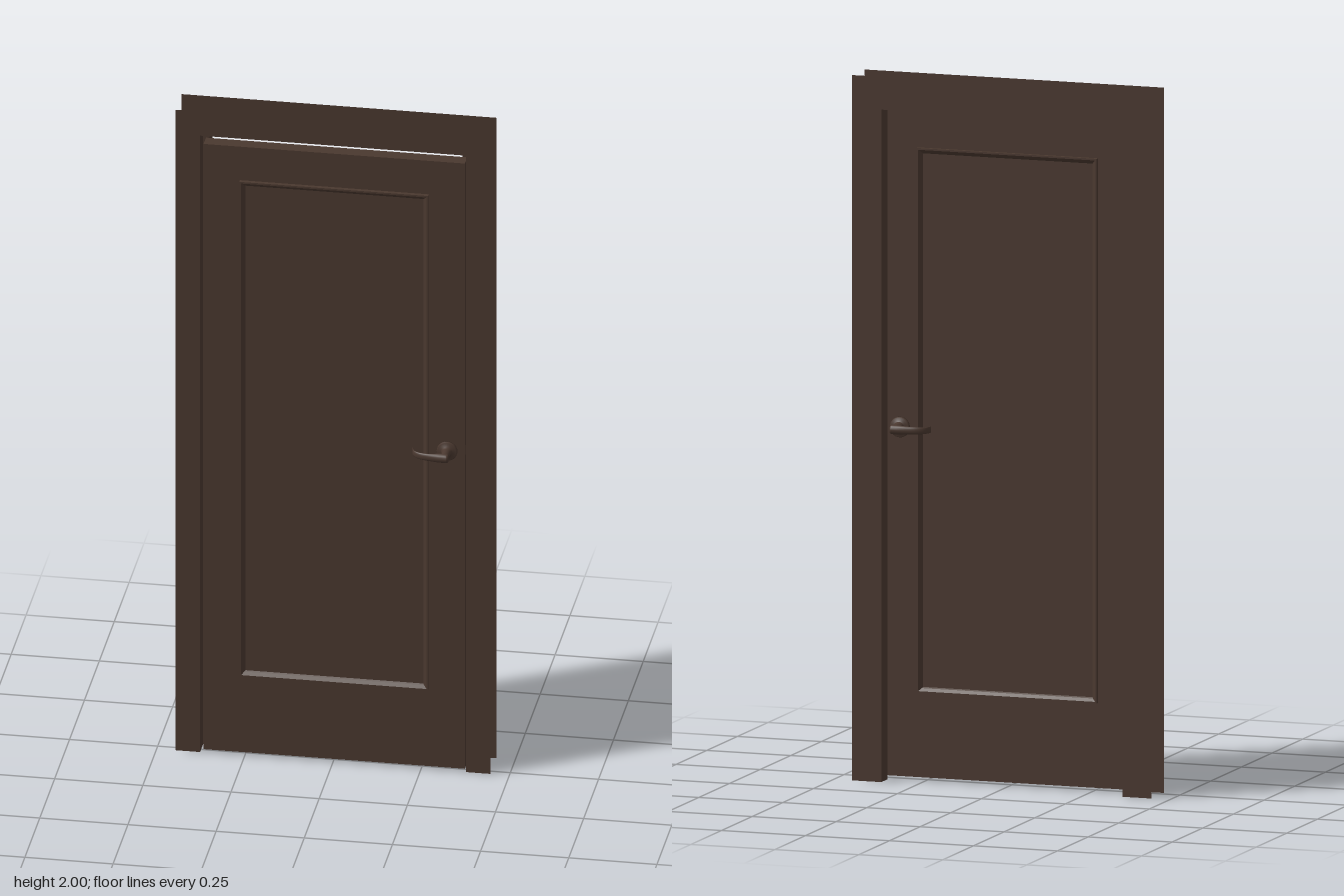
import * as THREE from 'three';

const FRONT = 0.017, STEP = -0.033, BACK = -0.083;   // depth of trim, rebate and rear trim
const REBATE = [0.377, 1.925], STOP = [0.359, 1.907]; // half width and height of the openings
const DOOR = { x0: -0.367, x1: 0.374, y0: 0.01, y1: 1.9, z0: -0.023, z1: 0.017 };

export function createModel() {
  const wood = new THREE.MeshStandardMaterial({ color: 0x4a382f, side: THREE.DoubleSide });
  wood.name = 'dark brown';
  const model = new THREE.Group();
  model.name = 'door';

  const add = (name, geometry, parent = model) => {
    const mesh = new THREE.Mesh(geometry, wood);
    mesh.name = name;
    parent.add(mesh);
    return mesh;
  };

  // Flat portal: an upside-down U between an outer and an inner opening
  const portal = ([ow, oh], [iw, ih]) => new THREE.ShapeGeometry(new THREE.Shape(
    [[-ow, 0], [-iw, 0], [-iw, ih], [iw, ih], [iw, 0], [ow, 0], [ow, oh], [-ow, oh]]
      .map(([x, y]) => new THREE.Vector2(x, y))));

  // Thin lining of an opening: two sides and a head
  const lining = (name, [w, h], z0, z1) => {
    const depth = z1 - z0, z = (z0 + z1) / 2;
    for (const s of [-1, 1]) {
      const side = add(name + 'Side', new THREE.PlaneGeometry(depth, h));
      side.rotation.y = -s * Math.PI / 2;
      side.position.set(s * w, h / 2, z);
    }
    const head = add(name + 'Head', new THREE.PlaneGeometry(2 * w, depth));
    head.rotation.x = Math.PI / 2;
    head.position.set(0, h, z);
  };

  // Frame
  add('frontTrim', portal([0.446, 2], REBATE)).position.z = FRONT;
  const rear = add('backTrim', portal([0.446, 2], STOP));
  rear.rotation.y = Math.PI;
  rear.position.z = BACK;
  add('doorStop', portal(REBATE, STOP)).position.z = STEP;
  lining('rebate', REBATE, STEP, FRONT);
  lining('jamb', STOP, BACK, STEP);

  // Door leaf
  const leaf = add('doorLeaf', new THREE.BoxGeometry(
    DOOR.x1 - DOOR.x0, DOOR.y1 - DOOR.y0, DOOR.z1 - DOOR.z0));
  leaf.position.set((DOOR.x0 + DOOR.x1) / 2, (DOOR.y0 + DOOR.y1) / 2, (DOOR.z0 + DOOR.z1) / 2);

  // Panel moulding and lever handle on both faces
  const middle = (DOOR.z0 + DOOR.z1) / 2, half = (DOOR.z1 - DOOR.z0) / 2;
  for (const side of ['front', 'back']) {
    const turn = side === 'front' ? 0 : Math.PI;
    const moulding = add(side + 'PanelMoulding', mouldingGeometry(0.536, 1.545));
    moulding.rotation.x = turn;
    moulding.position.set(0.004, 1.023, middle + (turn ? -half : half));

    const handle = new THREE.Group();
    handle.name = side + 'Handle';
    handle.rotation.x = turn;
    handle.position.set(0.324, 1, middle + (turn ? -half : half));
    model.add(handle);
    const turned = [[0, 0], [0.029, 0], [0.029, 0.006], [0.026, 0.009], [0.016, 0.01],
      [0.016, 0.014], [0.0125, 0.018], [0.0115, 0.045]].map(([r, y]) => new THREE.Vector2(r, y));
    add('roseAndNeck', new THREE.LatheGeometry(turned, 28), handle).rotation.x = Math.PI / 2;
    add('lever', leverGeometry(), handle);
  }

  // Latch in the leaf's edge
  add('latchBolt', new THREE.BoxGeometry(0.012, 0.03, 0.026)).position.set(0.373, 1, -0.008);
  return model;
}

// Joins cross-section loops into a closed skin
function loft(loops, closedEnds) {
  const n = loops[0].length, index = [];
  for (let i = 0; i < loops.length - 1; i++)
    for (let j = 0; j < n; j++) {
      const a = i * n + j, b = i * n + (j + 1) % n;
      index.push(a, b, b + n, a, b + n, a + n);
    }
  if (closedEnds)
    for (let j = 1; j < n - 1; j++) {
      const e = (loops.length - 1) * n;
      index.push(0, j + 1, j, e, e + j, e + j + 1);
    }
  const geometry = new THREE.BufferGeometry();
  geometry.setAttribute('position', new THREE.Float32BufferAttribute(loops.flat(2), 3));
  geometry.setIndex(index);
  return geometry;
}

// Rectangular moulding with mitred corners, rising along +z
function mouldingGeometry(w, h) {
  const profile = [[0, 0], [0, 0.011], [0.005, 0.011], [0.013, 0.004], [0.016, 0]];
  const loops = profile.map(([inset, z]) => [[-1, -1], [1, -1], [1, 1], [-1, 1]]
    .map(([x, y]) => [x * (w / 2 - inset), y * (h / 2 - inset), z]));
  const geometry = loft(loops, false).toNonIndexed();
  geometry.computeVertexNormals();
  return geometry;
}

// Curved lever: tapering oval sections swept towards the door
function leverGeometry() {
  // x, z, half thickness, half height
  const keys = [[0.011, 0.051, 0.009, 0.011], [0.006, 0.051, 0.0115, 0.013],
    [-0.014, 0.051, 0.0105, 0.013], [-0.04, 0.052, 0.006, 0.011],
    [-0.07, 0.047, 0.004, 0.01], [-0.088, 0.035, 0.003, 0.0095], [-0.0955, 0.014, 0.0015, 0.009]];
  const path = new THREE.CatmullRomCurve3(keys.map(([x, z]) => new THREE.Vector3(x, 0, z)));
  const size = new THREE.CatmullRomCurve3(keys.map(([, , t, h]) => new THREE.Vector3(t, h, 0)));
  const loops = [];
  for (let i = 0; i <= 24; i++) {
    const p = path.getPoint(i / 24), d = path.getTangent(i / 24), s = size.getPoint(i / 24);
    loops.push(Array.from({ length: 16 }, (_, j) => {
      const a = j / 16 * Math.PI * 2, across = Math.cos(a) * s.x;
      return [p.x + d.z * across, Math.sin(a) * s.y, p.z - d.x * across];
    }));
  }
  const geometry = loft(loops, true);
  geometry.computeVertexNormals();
  return geometry;
}
